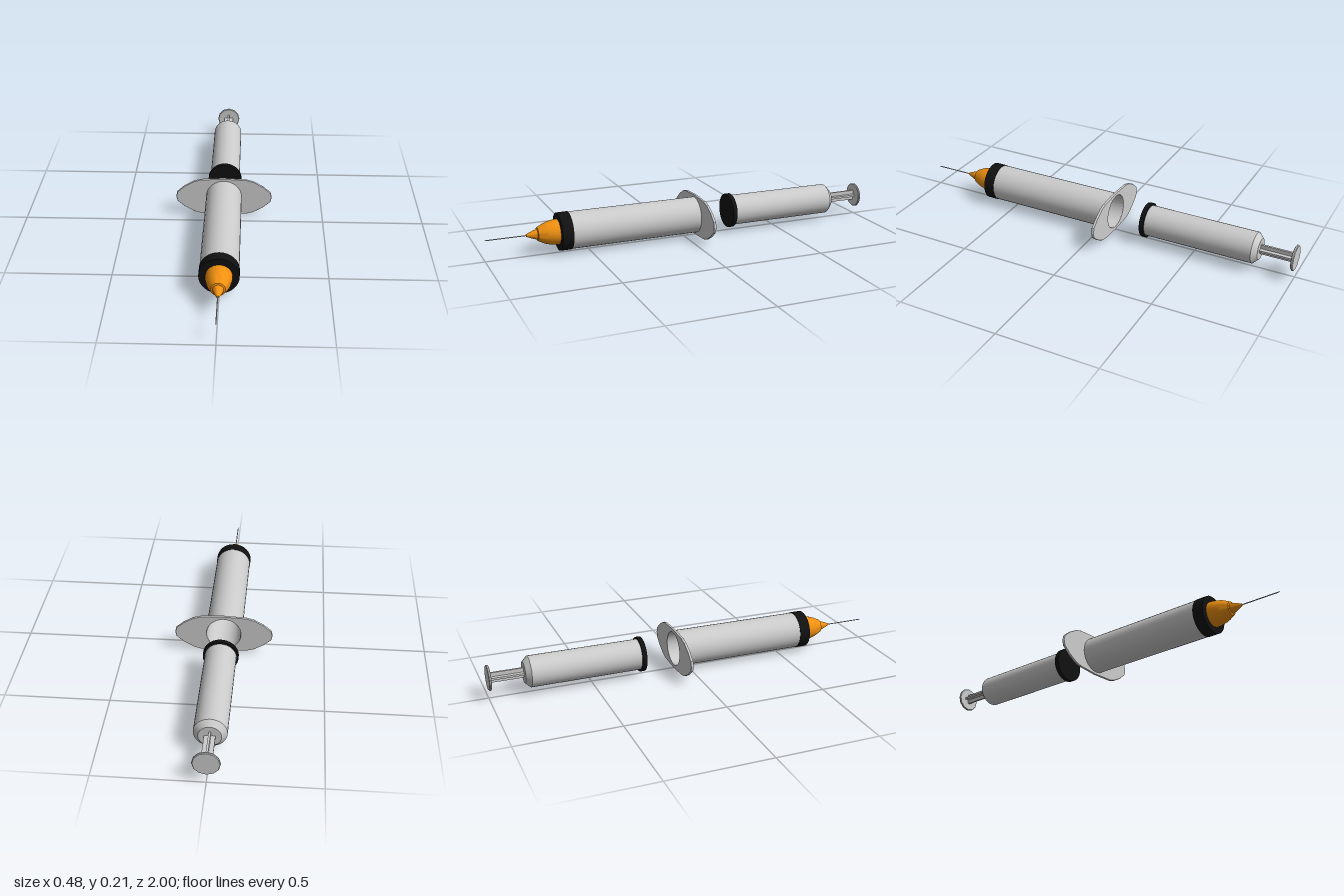
import * as THREE from 'three';
import { toCreasedNormals } from 'three/addons/utils/BufferGeometryUtils.js';

const grey = new THREE.MeshStandardMaterial({ color: 0xcccccc });
const black = new THREE.MeshStandardMaterial({ color: 0x111111 });
const orange = new THREE.MeshStandardMaterial({ color: 0xf09010 });

export function createModel() {
  const model = new THREE.Group();

  const add = (name, geometry, material, parent = model) => {
    const mesh = new THREE.Mesh(geometry, material);
    mesh.name = name;
    parent.add(mesh);
    return mesh;
  };

  // Profile of [radius, z] pairs turned around the z axis
  const turn = (name, profile, material, parent, sides = 32) => {
    const points = profile.map(([r, z]) => new THREE.Vector2(r, z));
    const geometry = new THREE.LatheGeometry(points, sides).rotateX(Math.PI / 2);
    return add(name, toCreasedNormals(geometry, 0.5), material, parent);
  };

  const syringe = new THREE.Group();
  syringe.name = 'syringe';
  syringe.position.y = 0.105;
  model.add(syringe);

  // Hollow barrel, open at the back
  turn('barrel', [[0, 0.59], [0.084, 0.59], [0.084, -0.068], [0.09, -0.068], [0.09, 0.6]], grey, syringe);
  turn('barrelCap', [[0, 0.593], [0.092, 0.593], [0.092, 0.648], [0, 0.648]], black, syringe);

  // Stepped hub and needle
  turn('needleHub', [
    [0, 0.645], [0.061, 0.645], [0.061, 0.665], [0.054, 0.7], [0.049, 0.715], [0.033, 0.748],
    [0.025, 0.75], [0.021, 0.765], [0.009, 0.795], [0.006, 0.802], [0, 0.802],
  ], orange, syringe);
  turn('needle', [[0, 0.79], [0.0025, 0.79], [0.0025, 0.99], [0, 1]], grey, syringe, 8);

  // Finger flange: a quarter outline mirrored four ways, with a round hole
  const quarter = [[0.242, 0], [0.236, 0.026], [0.197, 0.06], [0.15, 0.087], [0.115, 0.097], [0, 0.103]];
  const half = [...quarter, ...quarter.slice(0, -1).reverse().map(([x, y]) => [-x, y])];
  const outline = [...half, ...half.slice(1, -1).reverse().map(([x, y]) => [x, -y])];
  const flange = new THREE.Shape(outline.map(([x, y]) => new THREE.Vector2(x * 0.99, y * 0.985)));
  flange.holes.push(new THREE.Path().absarc(0, 0, 0.086, 0, Math.PI * 2, true));
  const flangeGeometry = new THREE.ExtrudeGeometry(flange, {
    depth: 0.006, bevelThickness: 0.003, bevelSize: 0.002, bevelSegments: 1, curveSegments: 16,
  });
  add('fingerFlange', flangeGeometry, grey, syringe).position.z = -0.069;

  // Plunger body with a chamfered back and a black seal
  turn('plungerBody', [[0, -0.828], [0.052, -0.828], [0.076, -0.803], [0.076, -0.25], [0, -0.25]], grey, syringe);
  turn('plungerSeal', [[0, -0.26], [0.086, -0.26], [0.086, -0.238], [0, -0.238]], black, syringe);

  // Cross-ribbed stem
  for (const [w, h] of [[0.05, 0.01], [0.01, 0.05]]) {
    add('stemRib', new THREE.BoxGeometry(w, h, 0.17), grey, syringe).position.z = -0.907;
  }

  // Thumb rest
  turn('thumbRest', [
    [0, -1], [0.059, -1], [0.062, -0.997], [0.062, -0.991], [0.059, -0.988], [0, -0.988],
  ], grey, syringe, 12);

  return model;
}
